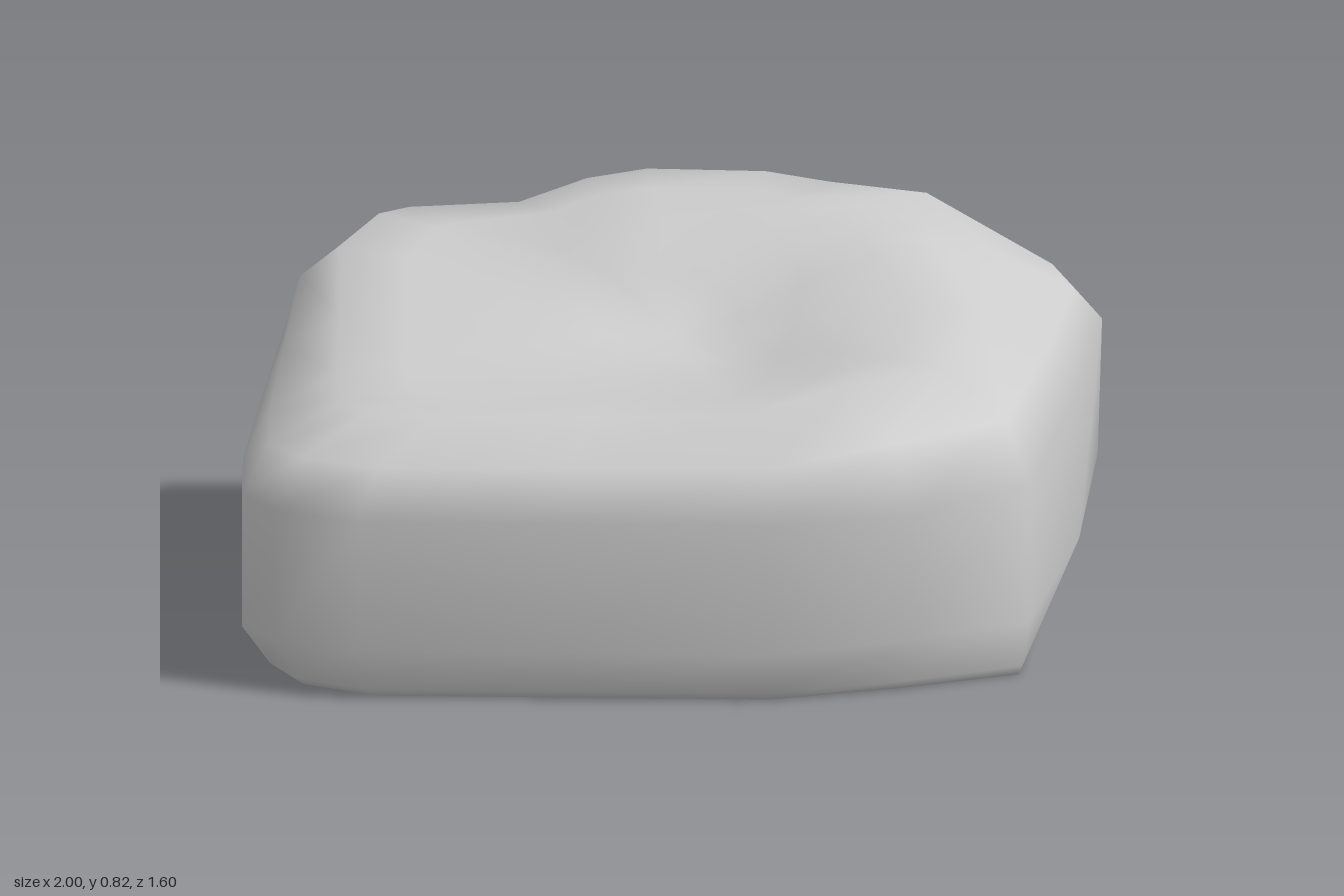
import * as THREE from 'three';
import { mergeVertices } from 'three/addons/utils/BufferGeometryUtils.js';

const { lerp, smoothstep } = THREE.MathUtils;

// Widest outline, counter-clockwise seen from above:
// x, z, height of lower edge, height of upper edge, scales of base, lower edge and top
const OUTLINE = [
  [-0.73, 0.78, 0.13, 0.45, 0.94, 1, 0.76],
  [-0.25, 0.79, 0.13, 0.45, 0.94, 1, 0.74],
  [0.25, 0.80, 0.13, 0.45, 0.94, 1, 0.72],
  [0.57, 0.71, 0.14, 0.45, 0.94, 1, 0.74],
  [0.84, 0.58, 0.14, 0.48, 0.97, 1, 0.76],
  [0.95, 0.00, 0.15, 0.52, 0.88, 1, 0.76],
  [1.00, -0.33, 0.25, 0.58, 0.74, 0.99, 0.76],
  [0.94, -0.48, 0.33, 0.58, 0.67, 0.98, 0.78],
  [0.70, -0.60, 0.35, 0.54, 0.68, 0.89, 0.84],
  [0.41, -0.66, 0.36, 0.52, 0.69, 0.90, 0.88],
  [0.25, -0.78, 0.43, 0.50, 0.61, 0.99, 0.84],
  [-0.08, -0.80, 0.44, 0.50, 0.61, 1, 0.84],
  [-0.25, -0.79, 0.43, 0.50, 0.61, 0.99, 0.83],
  [-0.41, -0.64, 0.36, 0.50, 0.58, 0.92, 0.89],
  [-0.69, -0.61, 0.33, 0.54, 0.41, 0.88, 0.90],
  [-0.76, -0.55, 0.33, 0.55, 0.41, 0.88, 0.91],
  [-0.91, -0.34, 0.31, 0.55, 0.46, 0.93, 0.86],
  [-0.96, 0.00, 0.20, 0.49, 0.74, 1, 0.81],
  [-1.00, 0.35, 0.13, 0.46, 0.87, 1, 0.78],
  [-1.00, 0.60, 0.13, 0.46, 0.90, 1, 0.77],
  [-0.92, 0.70, 0.13, 0.45, 0.93, 1, 0.77],
];

// Height of the upper face: a long slope on one side, a flat step up to the back on the other
function topHeight(x, z) {
  const front = lerp(0.64, 0.715, smoothstep(x, 0.1, 0.5));
  const back = lerp(0.775, 0.83, smoothstep(x, -0.45, -0.05)) - 0.11 * smoothstep(x, 0.58, 0.78);
  const slope = smoothstep(-z, -0.35, 0.42);
  const step = smoothstep(-z, -0.05, 0.26);
  const hollow = 0.02 * Math.exp(-(x * x) / 0.1 - z * z / 0.06);
  return lerp(front, back, lerp(slope, step, smoothstep(x, -0.4, 0.2))) - hollow;
}

// Rings from the middle of the base, up the sides, to the middle of the top
const onBase = k => ([x, z, , , base]) => [x * base * k, 0.005, z * base * k];
const onSide = (s, y, [x, z]) => [x * s, y, z * s];
const onTop = k => ([x, z, , , , , top]) => {
  const s = top * k;
  return [x * s, topHeight(x * s, z * s), z * s];
};
const RINGS = [
  onBase(0), onBase(0.5), onBase(1),
  p => onSide(lerp(p[4], p[5], 0.35), p[2] * 0.2, p),
  p => onSide(p[5], p[2], p),
  p => onSide(1, p[3], p),
  p => onSide(lerp(p[6], 1, 0.72), lerp(p[3], onTop(1)(p)[1], 0.6), p),
  onTop(1), onTop(0.8), onTop(0.6), onTop(0.4), onTop(0.2), onTop(0),
];

export function createModel() {
  const positions = RINGS.flatMap(ring => OUTLINE.flatMap(ring));
  const n = OUTLINE.length;
  const index = [];
  for (let r = 0; r < RINGS.length - 1; r++) {
    for (let j = 0; j < n; j++) {
      const a = r * n + j, b = r * n + (j + 1) % n;
      if (r > 0) index.push(a, b, b + n);
      if (r < RINGS.length - 2) index.push(a, b + n, a + n);
    }
  }
  let geometry = new THREE.BufferGeometry();
  geometry.setAttribute('position', new THREE.Float32BufferAttribute(positions, 3));
  geometry.setIndex(index);
  geometry = mergeVertices(geometry, 1e-4);
  geometry.computeVertexNormals();

  const boulder = new THREE.Mesh(geometry, new THREE.MeshStandardMaterial({ color: 0xcccccc }));
  boulder.name = 'boulder';
  const group = new THREE.Group();
  group.name = 'rock';
  group.add(boulder);
  return group;
}
